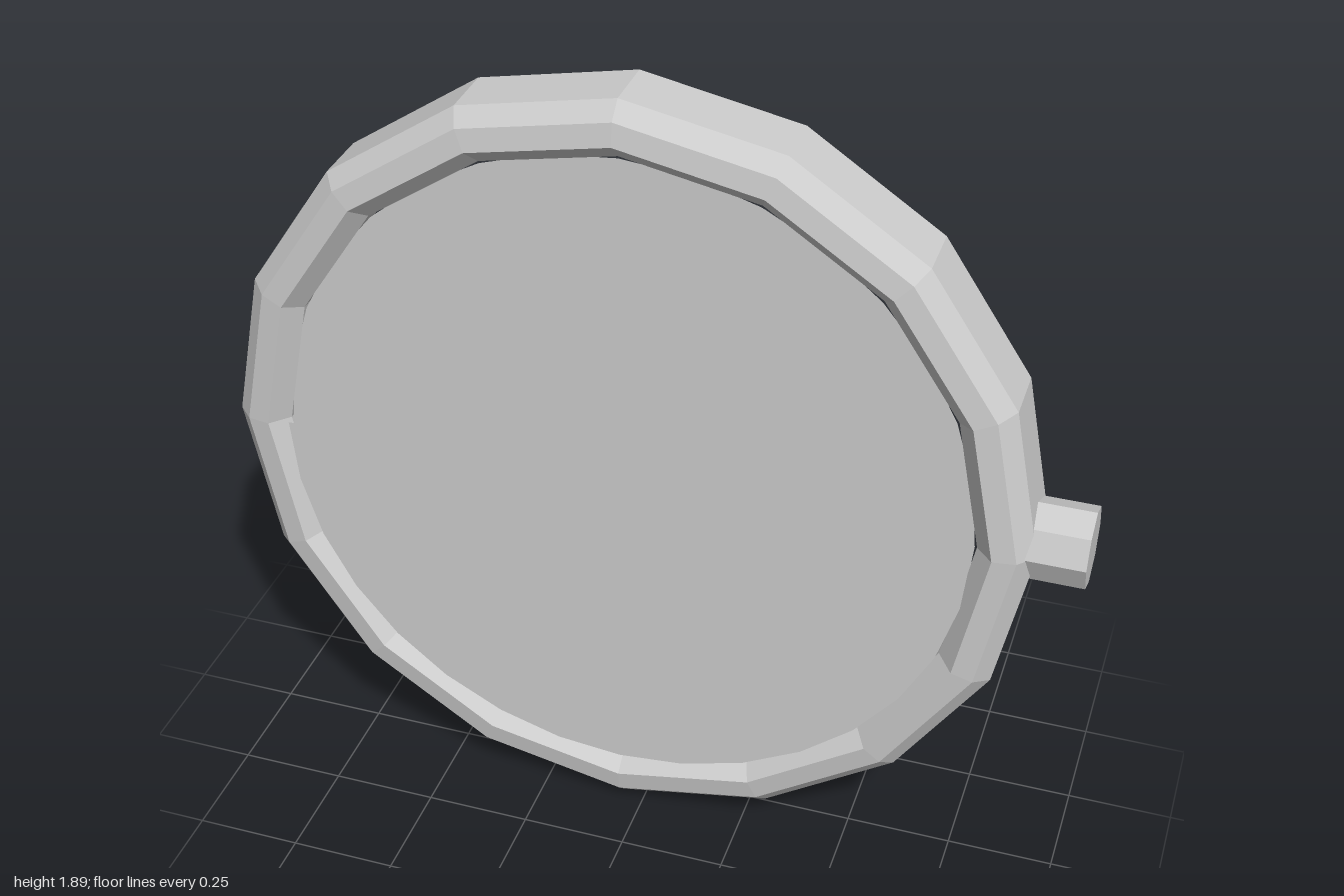
import * as THREE from 'three';

const CX = -0.055, CY = 0.947; // centre of the round body

export function createModel() {
  const model = new THREE.Group();
  const grey = new THREE.MeshStandardMaterial({ color: 0xcccccc, flatShading: true });
  grey.name = 'plain grey';

  const add = (name, geometry, x, y, z) => {
    const mesh = new THREE.Mesh(geometry, grey);
    mesh.name = name;
    mesh.position.set(x, y, z);
    model.add(mesh);
    return mesh;
  };

  // Bevelled sixteen-sided rim: half profile [radius, depth], mirrored to close the loop
  const half = [[0.945, 0.07], [0.908, 0.108], [0.855, 0.116], [0.815, 0.073]];
  const profile = [
    ...half,
    ...half.map(([r, d]) => [r, -d]).reverse(),
    half[0],
  ].map(([r, d]) => new THREE.Vector2(r, d));
  add('rim', new THREE.LatheGeometry(profile, 16).rotateX(Math.PI / 2), CX, CY, 0);

  // Eight-sided knob on the model's left
  const knob = new THREE.CylinderGeometry(0.093, 0.093, 0.15, 8).rotateZ(-Math.PI / 2);
  add('knob', knob, 0.925, CY + 0.004, 0);

  // Flat faces, the same on the front and the back
  const addFaces = (name, geometry, x, y, z) => {
    add(name + 'Front', geometry, x, y, z);
    add(name + 'Back', geometry, x, y, -z).rotation.y = Math.PI;
  };
  const spike = new THREE.Shape([
    new THREE.Vector2(-0.03, -0.03), new THREE.Vector2(0.03, -0.03), new THREE.Vector2(0, 0.034),
  ]);
  addFaces('upperDisc', new THREE.CircleGeometry(0.81, 32), CX, CY, 0.073);
  addFaces('lowerHalfDisc', new THREE.CircleGeometry(0.81, 16, Math.PI, Math.PI), CX, CY + 0.003, 0.1);
  addFaces('smallCircle', new THREE.CircleGeometry(0.097, 32), 0.425, 1.097, 0.076);
  addFaces('smallSpike', new THREE.ShapeGeometry(spike), -0.533, CY, 0.076);

  return model;
}
